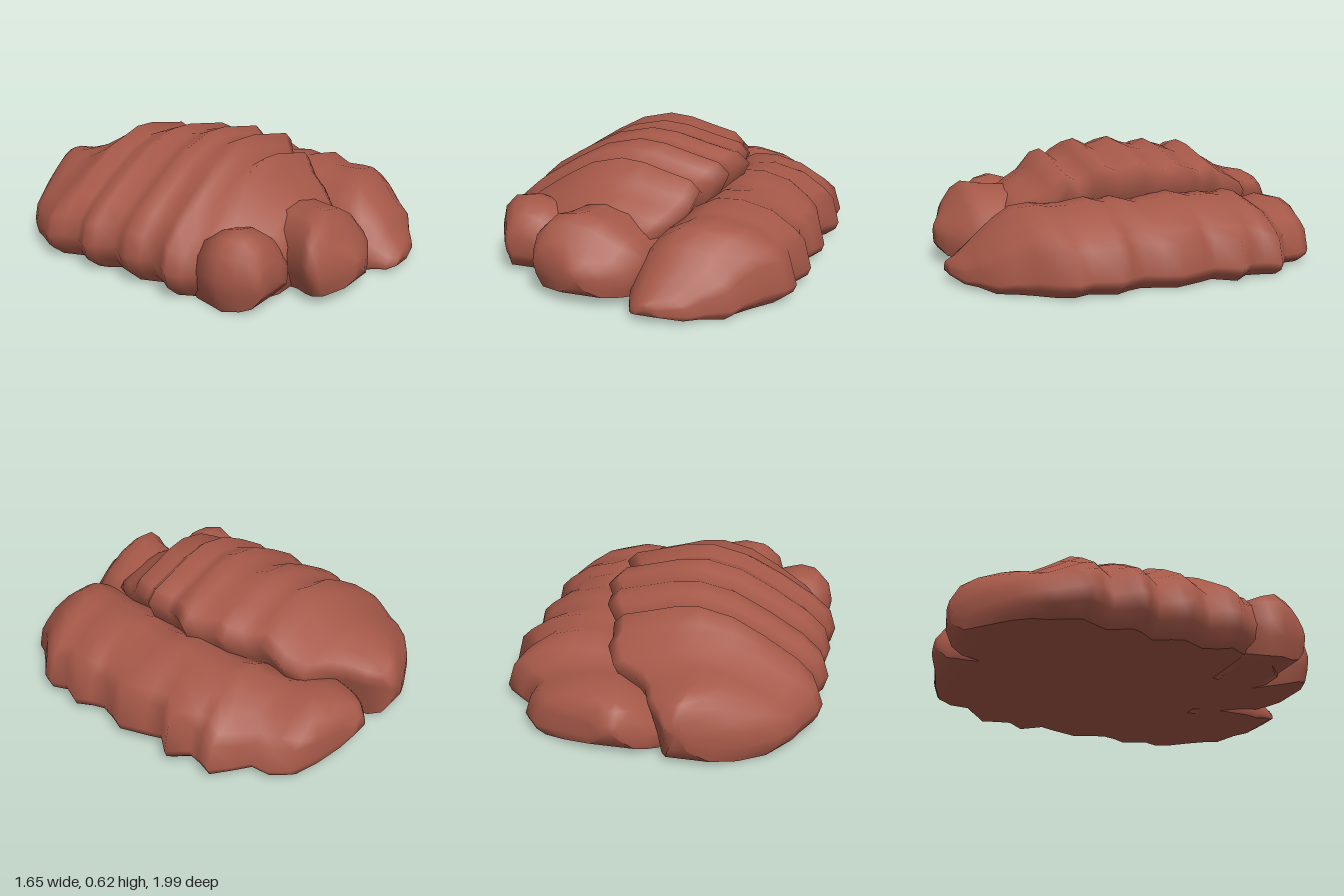
import * as THREE from 'three';

// Cross-sections as fractions of width and height, from left foot over the top to right foot
const HEAP = [[.09, 0], [.02, .12], [0, .26], [.03, .45], [.11, .59], [.27, .78], [.42, .93], [.58, 1],
  [.7, .98], [.82, .92], [.95, .86], [1, .77], [.96, .6], [.9, .3], [.86, 0]];
const LOAF = [[.03, 0], [0, .1], [.01, .32], [.08, .55], [.19, .82], [.35, .98], [.52, 1], [.73, .9],
  [.88, .7], [.95, .57], [1, .2], [.98, .1], [.91, 0]];
const LUMP = [[.1, 0], [.03, .25], [0, .5], [.05, .78], [.18, .96], [.38, 1], [.62, .92], [.85, .72],
  [1, .5], [1, .2], [.95, 0]];

// Lofts a profile through stations of [z, left x, right x, top y, bottom y]
function loft(name, profile, stations, material) {
  const last = profile.length - 1;
  const ring = [...profile, profile[last], profile[0]]; // doubled foot points keep the underside sharp
  const n = ring.length, pos = [], index = [];
  const addRing = ([z, x0, x1, top, low = 0], k = 1) => {
    const cx = (x0 + x1) / 2, cy = (top + low) / 2;
    for (const [u, v] of ring) {
      const x = x0 + (x1 - x0) * u, y = low + (top - low) * v;
      pos.push(cx + (x - cx) * k, cy + (y - cy) * k, z);
    }
  };
  addRing(stations[0], 0); // closed ends
  stations.forEach(s => addRing(s));
  addRing(stations[stations.length - 1], 0);
  for (let i = 0; i <= stations.length; i++) {
    for (let j = 0; j < n - 1; j++) {
      if (j === last) continue;
      const a = i * n + j, c = a + n;
      index.push(a, c, a + 1, a + 1, c, c + 1);
    }
  }
  const geo = new THREE.BufferGeometry();
  geo.setAttribute('position', new THREE.Float32BufferAttribute(pos, 3));
  geo.setIndex(index);
  geo.computeVertexNormals();
  const mesh = new THREE.Mesh(geo, material);
  mesh.name = name;
  return mesh;
}

export function createModel() {
  const group = new THREE.Group();
  group.name = 'ribbedMound';
  const clay = new THREE.MeshStandardMaterial({ color: 0xa55848 });
  clay.name = 'reddish brown';

  // Tall ribbed heap on the left, stepping down to a low lobe at the back
  group.add(loft('tallHeap', HEAP, [
    [-1, -.25, -.13, .25, .1], [-.96, -.36, -.09, .325, .03], [-.9, -.5, -.03, .36, .01], [-.81, -.64, 0, .375],
    [-.73, -.71, .07, .4], [-.67, -.74, .19, .42], [-.57, -.8, .24, .48], [-.52, -.82, .23, .51],
    [-.45, -.79, .24, .57], [-.38, -.76, .25, .53], [-.32, -.8, .29, .555], [-.27, -.83, .32, .57],
    [-.22, -.81, .32, .595], [-.14, -.75, .33, .57], [-.06, -.8, .37, .59], [0, -.82, .34, .62],
    [.06, -.79, .3, .595], [.12, -.76, .28, .58], [.2, -.8, .33, .62], [.25, -.83, .27, .575],
    [.31, -.79, .22, .52], [.38, -.75, .23, .57], [.44, -.75, .2, .48], [.52, -.72, .16, .43],
    [.59, -.62, .1, .39], [.66, -.52, .05, .33, .02],
  ], clay));

  // Small lobe at the front of the heap
  group.add(loft('leftFrontLobe', LUMP, [
    [.34, -.74, -.35, .3], [.45, -.77, -.32, .355], [.52, -.79, -.32, .375], [.6, -.75, -.35, .36, .01],
    [.65, -.72, -.4, .32, .03], [.69, -.7, -.44, .25, .08], [.7, -.67, -.5, .2, .11],
  ], clay));

  // Middle lump at the front
  group.add(loft('middleFrontLump', LUMP, [
    [.45, -.36, .15, .38], [.6, -.39, .13, .395], [.7, -.42, .1, .4, .02], [.77, -.46, .08, .41, .03],
    [.82, -.48, .05, .37, .04], [.87, -.46, .01, .3, .05], [.92, -.32, -.08, .24, .06], [.95, -.26, -.16, .2, .1],
  ], clay));

  // Long low ribbed loaf on the right, lower at its back end
  group.add(loft('longLoaf', LOAF, [
    [-.98, .08, .19, .18, .1], [-.94, .02, .27, .24, .04], [-.9, -.04, .43, .265, .02], [-.85, -.09, .55, .28],
    [-.77, -.12, .62, .3], [-.67, -.1, .62, .285], [-.61, -.03, .7, .295], [-.54, .02, .79, .33],
    [-.46, .06, .76, .38], [-.39, .08, .74, .365], [-.3, .08, .82, .385], [-.2, .08, .73, .375],
    [-.12, .08, .76, .4], [.02, .08, .8, .385], [.1, .08, .76, .37], [.19, .08, .73, .395],
    [.26, .06, .75, .38], [.33, .04, .79, .4], [.45, .02, .73, .375], [.53, 0, .76, .375],
    [.6, 0, .73, .385], [.69, 0, .64, .37], [.77, 0, .57, .31], [.84, .02, .53, .25],
    [.9, .04, .42, .18, .015], [.95, .06, .35, .13, .02], [.99, .1, .22, .1, .04],
  ], clay));

  return group;
}
